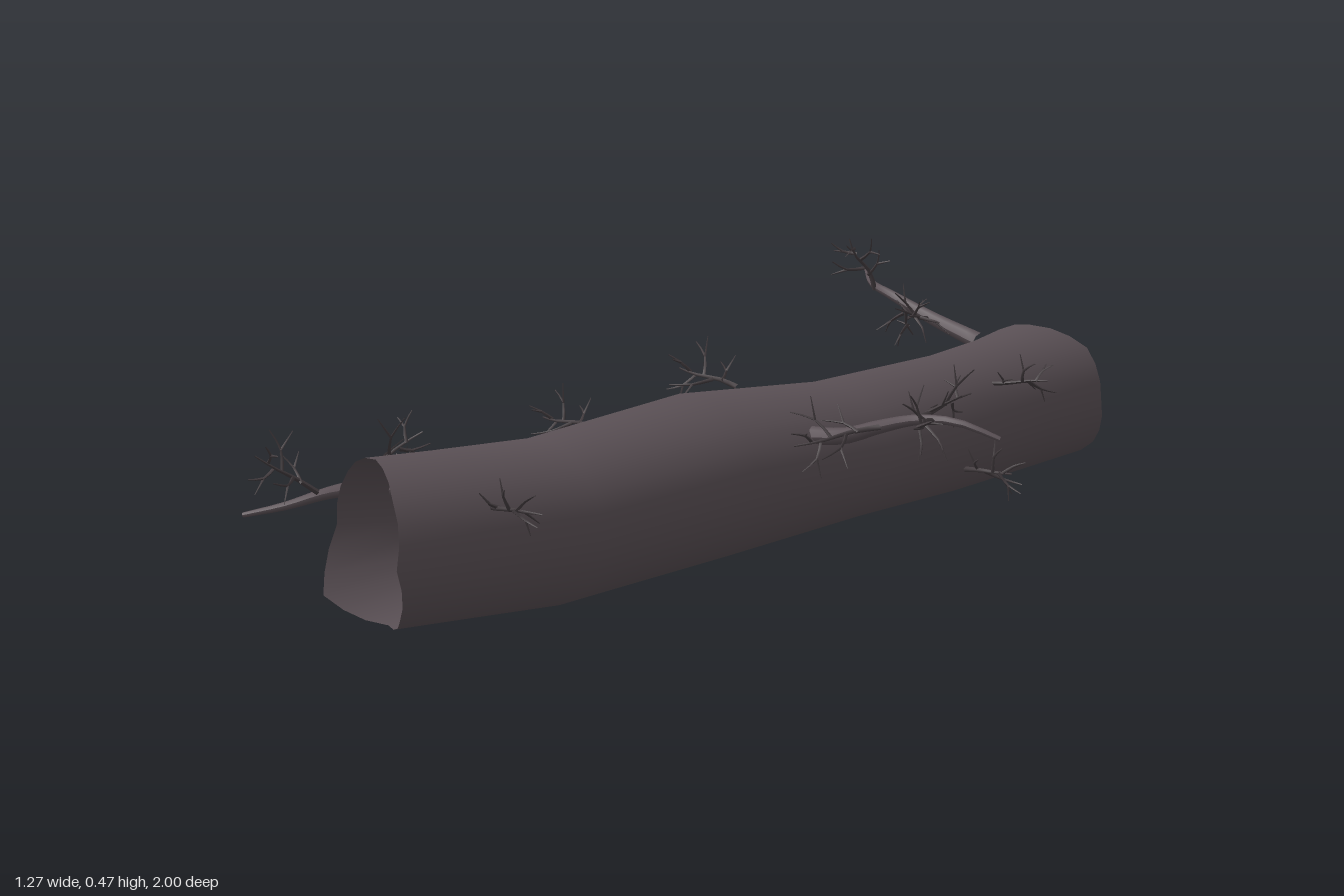
import * as THREE from 'three';
import { mergeGeometries } from 'three/addons/utils/BufferGeometryUtils.js';

const V = (a) => new THREE.Vector3(...a);
const SIDES = 24;

// Log cross-sections: z, centre x, centre y, half width, half height
const SECTIONS = [
  [0.93, 0.003, 0.182, 0.158, 0.154],
  [0.75, 0.018, 0.172, 0.156, 0.155],
  [0.53, 0.04, 0.158, 0.155, 0.157],
  [0.15, 0.066, 0.178, 0.171, 0.162],
  [-0.22, 0.08, 0.167, 0.165, 0.138],
  [-0.6, 0.055, 0.153, 0.137, 0.143],
  [-0.8, 0.046, 0.158, 0.145, 0.146],
  [-0.95, 0.038, 0.164, 0.153, 0.149],
];
// Broken rims: z every 45 degrees, starting at +x and going over the top
const FRONT_RIM = [0.995, 0.96, 0.9, 0.87, 0.86, 0.935, 0.88, 0.95];
const BACK_RIM = [-0.965, -0.97, -0.91, -0.9, -0.97, -0.99, -1, -1];

function rimZ(rim, t) {
  const f = t * 8, i = Math.floor(f) % 8;
  return THREE.MathUtils.lerp(rim[i], rim[(i + 1) % 8], f - Math.floor(f));
}

// Skin of the log; the inner one narrows behind the rims and faces inward
function logSkin(inner) {
  const pos = [], index = [], last = SECTIONS.length - 1;
  SECTIONS.forEach(([z, cx, cy, rx, ry], j) => {
    const end = j === 0 || j === last;
    const k = !inner || end ? 1 : (j === 1 || j === last - 1) ? 0.88 : 0.79;
    for (let i = 0; i < SIDES; i++) {
      const t = i / SIDES, a = t * Math.PI * 2;
      const zz = j === 0 ? rimZ(FRONT_RIM, t) : j === last ? rimZ(BACK_RIM, t) : z;
      pos.push(cx + Math.cos(a) * rx * k, cy + Math.sin(a) * ry * k, zz);
      if (j === last) continue;
      const p = j * SIDES + i, q = j * SIDES + (i + 1) % SIDES, r = p + SIDES, s = q + SIDES;
      if (inner) index.push(p, q, r, q, s, r);
      else index.push(p, r, q, q, r, s);
    }
  });
  const g = new THREE.BufferGeometry();
  g.setAttribute('position', new THREE.Float32BufferAttribute(pos, 3));
  g.setIndex(index);
  g.computeVertexNormals();
  return g;
}

// Tube along the points, tapering from r0 to r1
function limb(points, r0, r1, steps, sides) {
  const curve = new THREE.CatmullRomCurve3(points);
  const g = new THREE.TubeGeometry(curve, steps, r0, sides, false);
  const p = g.attributes.position, v = new THREE.Vector3();
  for (let i = 0; i < p.count; i++) {
    const t = Math.floor(i / (sides + 1)) / steps;
    const c = curve.getPointAt(t);
    v.fromBufferAttribute(p, i).sub(c).multiplyScalar(THREE.MathUtils.lerp(1, r1 / r0, t)).add(c);
    p.setXYZ(i, v.x, v.y, v.z);
  }
  g.computeVertexNormals();
  return g;
}

// Side shoots: position along stem, roll about stem, length relative to stem
const SHOOTS = [[0.28, 0.3, 0.42], [0.42, 3.3, 0.5], [0.58, 0.9, 0.48], [0.7, 3.9, 0.4], [0.8, 2.2, 0.32]];

// Crooked twig with forked shoots
function twig(from, to, roll) {
  const a = V(from), b = V(to), dir = b.clone().sub(a), len = dir.length();
  dir.normalize();
  const ref = Math.abs(dir.y) > 0.8 ? V([1, 0, 0]) : V([0, 1, 0]);
  const u = new THREE.Vector3().crossVectors(dir, ref).normalize();
  const w = new THREE.Vector3().crossVectors(u, dir);
  const out = (angle) => u.clone().multiplyScalar(Math.cos(angle)).addScaledVector(w, Math.sin(angle));
  const at = (t) => a.clone().lerp(b, t);
  const stem = [a, at(0.35).addScaledVector(out(roll), len * 0.05), at(0.7).addScaledVector(out(roll + 3), len * 0.04), b];
  const parts = [limb(stem, 0.006, 0.0015, 6, 5)];
  for (const [t, angle, size] of SHOOTS) {
    const side = out(angle + roll), l = len * size, s = at(t);
    const mid = s.clone().addScaledVector(side, l * 0.5).addScaledVector(dir, l * 0.25);
    const tip = mid.clone().addScaledVector(side, l * 0.3).addScaledVector(dir, l * 0.5);
    const fork = mid.clone().addScaledVector(side, l * 0.45).addScaledVector(out(angle + roll + 1.4), l * 0.25);
    parts.push(limb([s, mid, tip], 0.0042, 0.0012, 4, 4));
    parts.push(limb([mid, fork], 0.003, 0.001, 1, 4));
  }
  return mergeGeometries(parts);
}

const BRANCHES = {
  leftBranch: [[0.15, 0.245, -0.03], [0.28, 0.262, -0.03], [0.38, 0.298, -0.025], [0.48, 0.328, -0.02], [0.56, 0.332, -0.035], [0.63, 0.306, -0.07]],
  backRightBranch: [[-0.06, 0.27, -0.86], [-0.2, 0.303, -0.865], [-0.31, 0.342, -0.855], [-0.38, 0.352, -0.88], [-0.44, 0.368, -0.93]],
  frontRightBranch: [[-0.1, 0.24, 0.755], [-0.22, 0.217, 0.745], [-0.34, 0.182, 0.73], [-0.42, 0.15, 0.76], [-0.5, 0.125, 0.8]],
};

// Twigs: start, end, roll
const TWIGS = [
  // growing from the left branch
  [[0.45, 0.32, -0.02], [0.47, 0.35, -0.18], 0.2],
  [[0.51, 0.33, -0.02], [0.58, 0.35, 0.12], 0.5],
  [[0.39, 0.3, -0.02], [0.29, 0.27, 0.12], 0.1],
  // growing from the back right branch
  [[-0.355, 0.345, -0.86], [-0.37, 0.465, -0.79], 0.4],
  [[-0.29, 0.335, -0.86], [-0.32, 0.235, -0.95], 0.2],
  [[-0.2, 0.3, -0.86], [-0.14, 0.335, -0.72], 0],
  // growing from the front right branch
  [[-0.35, 0.18, 0.735], [-0.385, 0.27, 0.86], 0.3],
  [[-0.29, 0.2, 0.73], [-0.21, 0.3, 0.6], 0],
  // growing out of the bark
  [[-0.04, 0.3, -0.08], [-0.2, 0.315, -0.08], 0.1],
  [[0.14, 0.245, -0.64], [0.275, 0.265, -0.67], 0],
  [[0.15, 0.25, 0.76], [0.27, 0.27, 0.8], 0.1],
  // loose twigs
  [[0.34, 0.152, -0.33], [0.475, 0.17, -0.305], 0.4],
  [[-0.47, 0.145, -0.1], [-0.63, 0.14, -0.11], 0.2],
  [[-0.42, 0.145, 0.58], [-0.42, 0.16, 0.43], 0],
];

export function createModel() {
  const model = new THREE.Group();
  const bark = new THREE.MeshStandardMaterial({ color: 0x5a5055 });
  bark.name = 'bark';
  const darkBark = new THREE.MeshStandardMaterial({ color: 0x433c3f });
  darkBark.name = 'darkBark';
  const add = (name, geometry, material) => {
    const mesh = new THREE.Mesh(geometry, material);
    mesh.name = name;
    model.add(mesh);
  };

  add('logBark', logSkin(false), bark);
  add('logHollow', logSkin(true), bark);
  for (const [name, points] of Object.entries(BRANCHES)) add(name, limb(points.map(V), 0.02, 0.005, 14, 8), bark);
  TWIGS.forEach(([from, to, roll], i) => add(`twig${i + 1}`, twig(from, to, roll), darkBark));
  return model;
}
